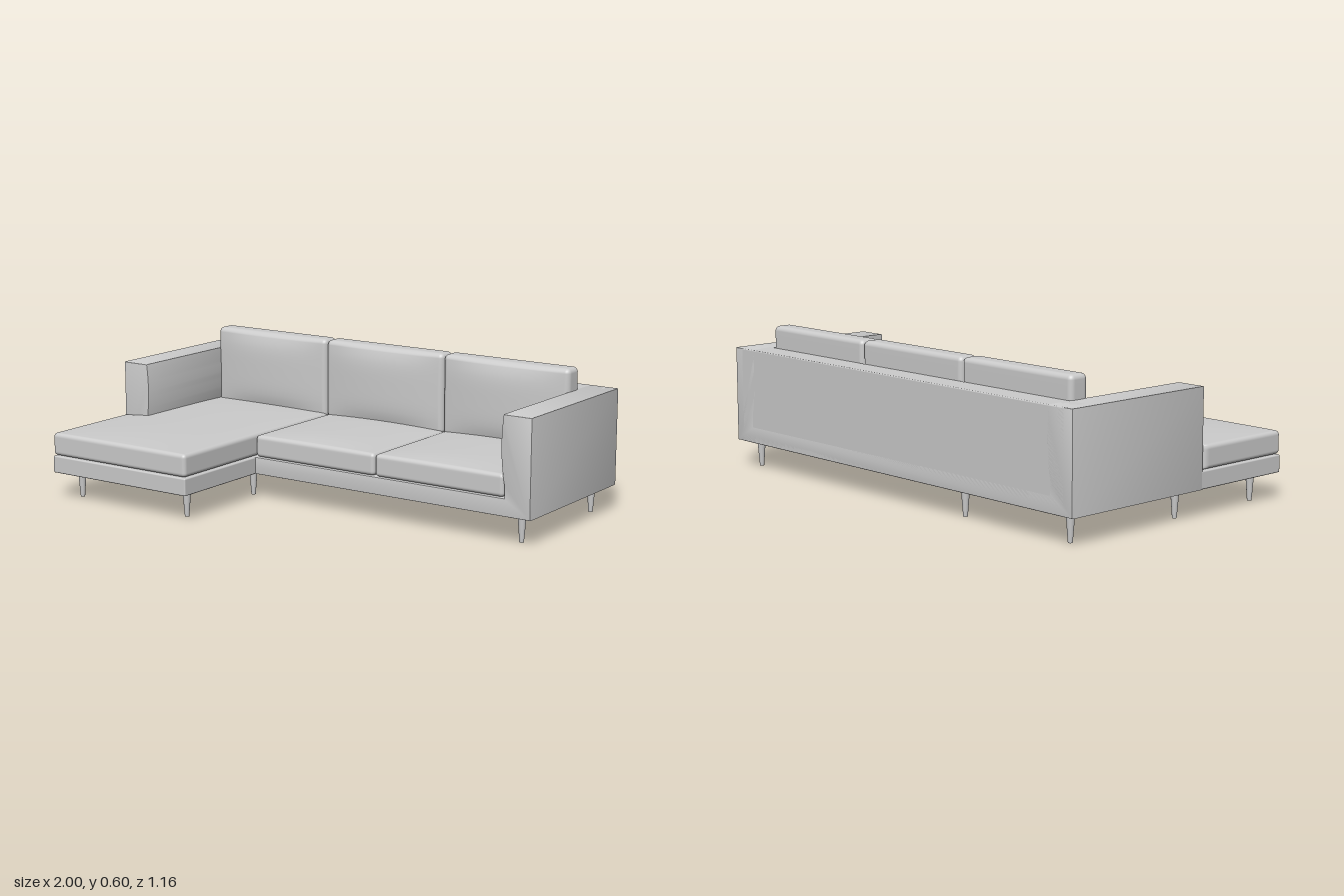
import * as THREE from 'three';
import { mergeVertices, toCreasedNormals } from 'three/addons/utils/BufferGeometryUtils.js';
import { RoundedBoxGeometry } from 'three/addons/geometries/RoundedBoxGeometry.js';

const material = new THREE.MeshStandardMaterial({ color: 0xcccccc });

function add(parent, name, geometry, x = 0, y = 0, z = 0) {
  const mesh = new THREE.Mesh(geometry, material);
  mesh.name = name;
  mesh.position.set(x, y, z);
  parent.add(mesh);
  return mesh;
}

// Box given by its min and max corners, with softly rounded edges
function roundedBox(parent, name, a, b, r) {
  const geometry = new RoundedBoxGeometry(b[0] - a[0], b[1] - a[1], b[2] - a[2], 2, r);
  return add(parent, name, geometry, (a[0] + b[0]) / 2, (a[1] + b[1]) / 2, (a[2] + b[2]) / 2);
}

// Rounded cushion whose face on the crown axis ('y' or 'z') swells outward
function cushion(a, b, r, axis, crown, flat = 12, warp = null) {
  const edge = 4;
  const n = flat + 2 * edge;
  const min = new THREE.Vector3(...a), max = new THREE.Vector3(...b);
  const size = max.clone().sub(min), mid = min.clone().add(max).multiplyScalar(0.5);
  const geometry = new THREE.BoxGeometry(1, 1, 1, n, n, n);
  geometry.deleteAttribute('uv');
  geometry.deleteAttribute('normal');
  const pos = geometry.attributes.position;
  const p = new THREE.Vector3(), core = new THREE.Vector3();
  for (let i = 0; i < pos.count; i++) {
    p.fromBufferAttribute(pos, i);
    // Spread the grid: fine rows in the rounded rim, even rows between
    for (const k of ['x', 'y', 'z']) {
      const s = Math.round((p[k] + 0.5) * n), h = size[k] / 2;
      if (s < edge) p[k] = -h + r * (1 - Math.tan((1 - s / edge) * Math.PI / 4));
      else if (s > n - edge) p[k] = h - r * (1 - Math.tan((1 - (n - s) / edge) * Math.PI / 4));
      else p[k] = (h - r) * (2 * (s - edge) / flat - 1);
      core[k] = THREE.MathUtils.clamp(p[k], r - h, h - r);
    }
    p.sub(core).setLength(r).add(core);
    const u = 2 * p.x / size.x;
    const other = axis === 'y' ? 'z' : 'y';
    const v = 2 * p[other] / size[other];
    const t = Math.max(0, p[axis] / size[axis] + 0.5);
    p[axis] += crown * t * (1 - u * u) * (1 - v ** 4);
    p.add(mid);
    if (warp) warp(p);
    pos.setXYZ(i, p.x, p.y, p.z);
  }
  const merged = mergeVertices(geometry, 1e-5);
  merged.computeVertexNormals();
  return merged;
}

export function createModel() {
  const sofa = new THREE.Group();
  sofa.name = 'sectionalSofa';

  // Seat base and both arms: one U profile with slightly swollen inner arm faces
  const u = new THREE.Shape();
  u.moveTo(-1, 0.11);
  u.lineTo(1, 0.11);
  u.lineTo(1, 0.507);
  u.lineTo(0.876, 0.507);
  u.quadraticCurveTo(0.857, 0.36, 0.885, 0.23);
  u.lineTo(0.885, 0.182);
  u.lineTo(-0.885, 0.182);
  u.lineTo(-0.885, 0.23);
  u.quadraticCurveTo(-0.857, 0.36, -0.876, 0.507);
  u.lineTo(-1, 0.507);
  u.closePath();
  const bevel = 0.005;
  const frame = new THREE.ExtrudeGeometry(u, {
    depth: 0.7 - 2 * bevel, bevelThickness: bevel, bevelSize: bevel,
    bevelOffset: -bevel, bevelSegments: 2, curveSegments: 12,
  });
  add(sofa, 'baseAndArms', toCreasedNormals(frame, 0.6), 0, 0, -0.58 + bevel);

  // Backrest panel between the arms, and the base under the chaise
  roundedBox(sofa, 'backPanel', [-0.96, 0.11, -0.58], [0.96, 0.507, -0.468], 0.005);
  roundedBox(sofa, 'chaiseBase', [-1, 0.11, 0.11], [-0.298, 0.182, 0.58], 0.006);

  // Seat cushions
  const seatEdges = [[-0.295, 0.291], [0.295, 0.882]];
  seatEdges.forEach(([x0, x1], i) =>
    add(sofa, `seatCushion${i + 1}`, cushion([x0, 0.184, -0.47], [x1, 0.275, 0.122], 0.016, 'y', 0.012)));

  // Chaise cushion: wide in front of the arm, narrowed beside it
  const besideArm = (p) => { if (p.z < 0.12) p.x = Math.max(p.x, -0.89); };
  add(sofa, 'chaiseCushion',
    cushion([-1, 0.184, -0.47], [-0.3, 0.278, 0.578], 0.016, 'y', 0.012, 40, besideArm));

  // Back cushions
  const backEdges = [[-0.882, -0.299], [-0.295, 0.291], [0.295, 0.88]];
  backEdges.forEach(([x0, x1], i) =>
    add(sofa, `backCushion${i + 1}`, cushion([x0, 0.26, -0.47], [x1, 0.6, -0.383], 0.02, 'z', 0.024)));

  // Tapered legs
  const legSpots = [
    [-0.925, -0.512], [-0.365, -0.512], [0.925, -0.512],
    [-0.925, 0.047], [-0.365, 0.047], [0.925, 0.047],
    [-0.925, 0.487], [-0.365, 0.487],
  ];
  const legGeometry = new THREE.CylinderGeometry(0.018, 0.009, 0.115, 20);
  legSpots.forEach(([x, z], i) => add(sofa, `leg${i + 1}`, legGeometry, x, 0.0575, z));

  return sofa;
}
